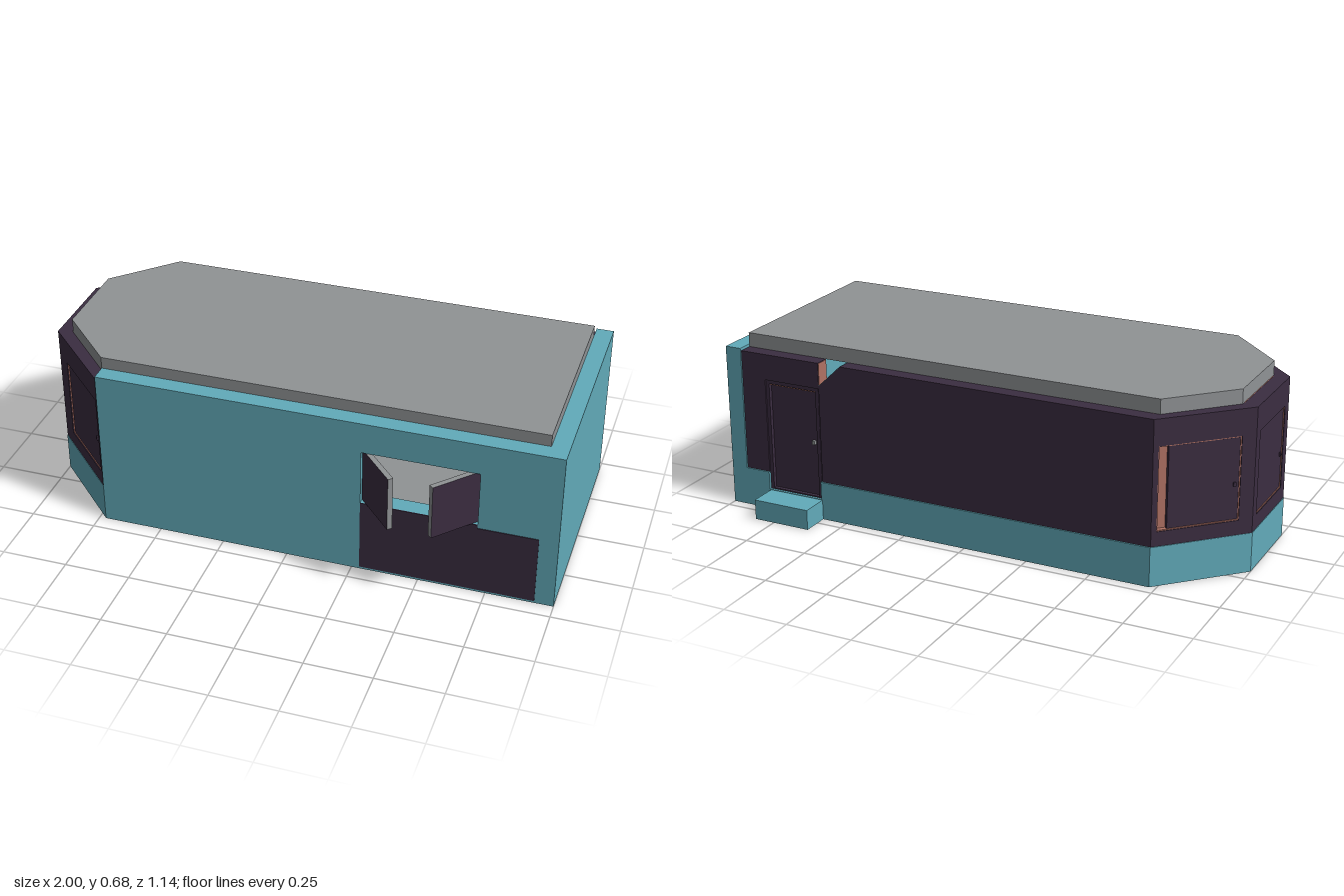
import * as THREE from 'three';

const mat = (name, color) => {
  const m = new THREE.MeshStandardMaterial({ color });
  m.name = name;
  return m;
};

export function createModel() {
  const teal = mat('teal', 0x62abba);
  const dark = mat('dark plum', 0x3b2d41);
  const gray = mat('gray', 0x909395);
  const brown = mat('brown', 0xb07264);

  const model = new THREE.Group();
  model.name = 'pavilion';

  const add = (parent, name, geo, material) => {
    const mesh = new THREE.Mesh(geo, material);
    mesh.name = name;
    parent.add(mesh);
    return mesh;
  };
  // box given by its minimum and maximum corners
  const box = (parent, name, a, b, material) => {
    const size = a.map((v, i) => b[i] - v);
    const mesh = add(parent, name, new THREE.BoxGeometry(...size), material);
    mesh.position.set(...a.map((v, i) => (v + b[i]) / 2));
    return mesh;
  };
  const toShape = (pts) => new THREE.Shape(pts.map(([x, y]) => new THREE.Vector2(x, y)));
  const rect = (x0, y0, x1, y1) => [[x0, y0], [x1, y0], [x1, y1], [x0, y1]];
  const extrude = (pts, depth, holes = []) => {
    const shape = toShape(pts);
    shape.holes = holes.map(toShape);
    return new THREE.ExtrudeGeometry(shape, { depth, bevelEnabled: false });
  };
  // horizontal slab from an outline of [x, z] points
  const slab = (name, pts, y0, y1, material) => {
    const geo = extrude(pts.map(([x, z]) => [x, -z]), y1 - y0).rotateX(-Math.PI / 2);
    add(model, name, geo, material).position.y = y0;
  };
  // group whose x runs along the wall from p to q, with z pointing outward
  const wallFrame = (name, p, q) => {
    const g = new THREE.Group();
    g.name = name;
    g.position.set(p[0], 0, p[1]);
    g.rotation.y = Math.atan2(p[1] - q[1], q[0] - p[0]);
    model.add(g);
    return g;
  };

  // base, floor and roof
  const nose = [[-0.725, -0.46], [-1, -0.185], [-1, 0.165], [-0.725, 0.44]];
  const tail = [[1, 0.44], [1, -0.46]];
  const doorway = [[0.835, -0.46], [0.835, -0.43], [0.605, -0.43], [0.605, -0.46]];
  slab('lowerBase', [...nose, ...tail], 0, 0.08, teal);
  slab('upperBase', [...nose, ...tail, ...doorway], 0.08, 0.15, teal);
  const inner = [[-0.725, -0.4], [-0.94, -0.18], [-0.94, 0.155], [-0.725, 0.375], [0.935, 0.375], [0.935, -0.4]];
  slab('floor', inner, 0.15, 0.155, gray);
  slab('roof', inner, 0.62, 0.675, gray);
  box(model, 'doorStep', [0.6, 0, -0.57], [0.83, 0.078, -0.46], teal);

  // teal front wall with the window opening, and the end wall
  const front = extrude(rect(-0.725, 0.15, 1, 0.63), 0.065, [rect(0.28, 0.295, 0.71, 0.51)]);
  add(model, 'frontWall', front, teal).position.z = 0.375;
  box(model, 'endWall', [0.935, 0.15, -0.46], [1, 0.63, 0.375], teal);
  box(model, 'frontPanel', [0.28, 0.01, 0.439], [0.93, 0.28, 0.443], dark);
  box(model, 'windowSillPanel', [0.28, 0.28, 0.439], [0.71, 0.295, 0.443], dark);

  // open window shutters
  for (const side of [1, -1]) {
    const shutter = new THREE.Group();
    shutter.name = side > 0 ? 'rightShutter' : 'leftShutter';
    shutter.position.set(side > 0 ? 0.288 : 0.702, 0.4025, 0.413);
    shutter.rotation.y = -side * 0.83;
    add(shutter, 'shutterBoard', new THREE.BoxGeometry(0.2, 0.213, 0.02),
      [gray, gray, gray, gray, dark, gray]).position.x = side * 0.1;
    model.add(shutter);
  }

  // dark nose walls, each with a recessed brown-framed panel
  const noseWalls = [
    ['backNoseWall', [-0.725, -0.455], [-0.998, -0.185], 0.02, 0.33, 0.04],
    ['noseWall', [-0.998, -0.185], [-0.998, 0.165], 0.04, 0.31, 0.008],
    ['frontNoseWall', [-0.998, 0.165], [-0.725, 0.438], 0.075, 0.37, 0.008],
  ];
  for (const [name, p, q, u0, u1, gap] of noseWalls) {
    const g = wallFrame(name, p, q);
    const length = Math.hypot(q[0] - p[0], q[1] - p[1]);
    const y0 = 0.205, y1 = 0.52;
    add(g, 'wall', extrude(rect(0, 0.15, length, 0.62), 0.055, [rect(u0, y0, u1, y1)]), dark).position.z = -0.055;
    add(g, 'panelFrame', extrude(rect(u0, y0, u1, y1), 0.05,
      [rect(u0 + 0.004, y0 + 0.004, u1 - 0.004, y1 - 0.004)]), brown).position.z = -0.053;
    box(g, 'panelBacking', [u0, y0, -0.05], [u1, y1, -0.02], brown);
    box(g, 'panel', [u0 + gap, y0 + 0.005, -0.02], [u1 - 0.004, y1 - 0.005, -0.005], dark);
    box(g, 'panelKnob', [u1 - 0.025, 0.335, -0.005], [u1 - 0.015, 0.35, 0], dark);
    box(g, 'lining', [0.02, 0.155, -0.059], [length - 0.02, 0.62, -0.056], brown);
  }

  // back wall: door post with lintel, and the long wall with a cut corner
  const back = wallFrame('backWall', [0.935, -0.455], [-0.725, -0.455]);
  const post = [[0, 0.15], [0.1, 0.15], [0.1, 0.52], [0.335, 0.52], [0.335, 0.62], [0, 0.62]];
  const long = [[0.335, 0.15], [1.66, 0.15], [1.66, 0.62], [0.43, 0.62], [0.335, 0.53]];
  add(back, 'doorPostAndLintel', extrude(post, 0.055), dark).position.z = -0.055;
  add(back, 'longWall', extrude(long, 0.055), dark).position.z = -0.055;
  add(back, 'wallLining', extrude(long, 0.003), brown).position.z = -0.059;
  add(back, 'doorwayLining', extrude(post, 0.003), brown).position.z = -0.059;
  box(back, 'lintelEnd', [0.334, 0.525, -0.055], [0.337, 0.618, -0.002], brown);
  add(back, 'cutCornerCap', extrude([[0.335, 0.53], [0.43, 0.62], [0.43, 0.622], [0.335, 0.532]], 0.055), teal)
    .position.z = -0.055;

  // recessed door
  add(back, 'doorFrame', extrude(rect(0.1, 0.08, 0.33, 0.52), 0.02,
    [rect(0.114, 0.085, 0.316, 0.505)]), dark).position.z = -0.025;
  box(back, 'doorHead', [0.114, 0.499, -0.03], [0.316, 0.505, -0.012], brown);
  box(back, 'door', [0.104, 0.08, -0.045], [0.326, 0.515, -0.02], dark);
  box(back, 'doorKnob', [0.29, 0.29, -0.02], [0.302, 0.305, -0.008], gray);

  return model;
}
